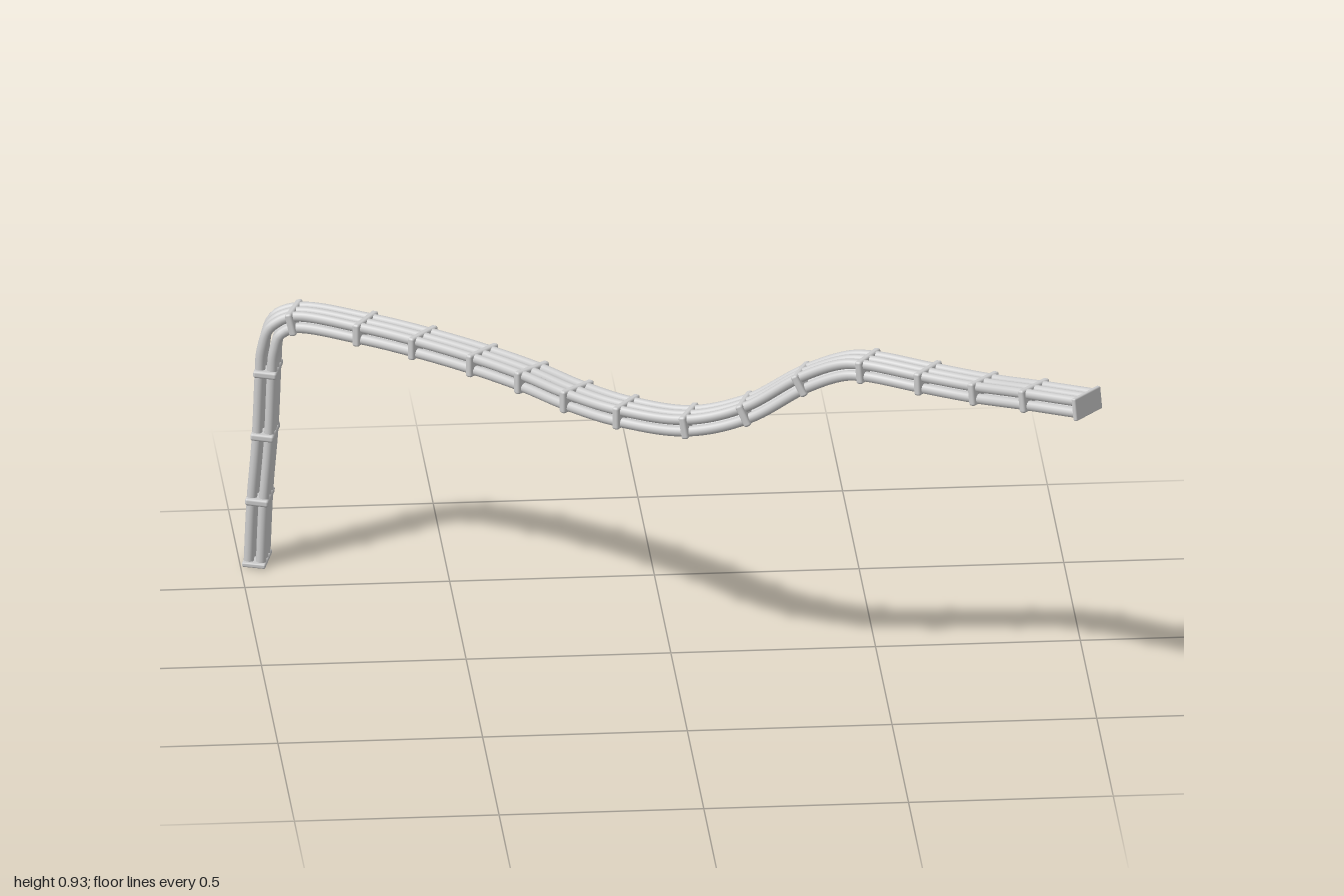
import * as THREE from 'three';
import { RoundedBoxGeometry } from 'three/addons/geometries/RoundedBoxGeometry.js';

// Route of the bundle: x, y, z, and 1 where a clamp sits
const ROUTE = [
  [-0.957, 0.006, -0.668, 0], [-0.95, 0.17, -0.668, 1], [-0.937, 0.34, -0.668, 1],
  [-0.93, 0.505, -0.668, 1], [-0.926, 0.565, -0.668, 0], [-0.91, 0.615, -0.667, 0],
  [-0.863, 0.64, -0.657, 1], [-0.7, 0.64, -0.573, 1], [-0.568, 0.64, -0.473, 1],
  [-0.433, 0.64, -0.35, 1], [-0.322, 0.64, -0.23, 1], [-0.222, 0.64, -0.1, 1],
  [-0.11, 0.64, 0.008, 1], [0.04, 0.643, 0.085, 1], [0.178, 0.69, 0.133, 1],
  [0.313, 0.783, 0.18, 1], [0.41, 0.833, 0.225, 0], [0.462, 0.843, 0.255, 1],
  [0.6, 0.846, 0.35, 1], [0.728, 0.857, 0.455, 1], [0.842, 0.882, 0.57, 1],
  [0.962, 0.899, 0.672, 0],
];
const WIDTH = 0.108, HEIGHT = 0.058;
const PIPE_RADIUS = 0.0128, COLUMN_GAP = 0.032, ROW_GAP = 0.03;

const path = new THREE.CatmullRomCurve3(ROUTE.map(([x, y, z]) => new THREE.Vector3(x, y, z)));

// Local frame: the side axis stays level, also along the upright leg
function frameAt(t) {
  const along = path.getTangent(t);
  const k = along.y ** 8;
  const heading = new THREE.Vector3(along.x + 0.97 * k, 0, along.z + 0.25 * k);
  const side = new THREE.Vector3(-heading.z, 0, heading.x);
  side.addScaledVector(along, -side.dot(along)).normalize();
  const up = new THREE.Vector3().crossVectors(along, side).normalize();
  return { origin: path.getPoint(t), along, side, up };
}

export function createModel() {
  const group = new THREE.Group();
  const material = new THREE.MeshStandardMaterial({ color: 0xcccccc });

  // Six parallel pipes in two rows of three
  const frames = Array.from({ length: 127 }, (_, i) => frameAt(i / 126));
  for (let row = 0; row < 2; row++) {
    for (let col = -1; col <= 1; col++) {
      const points = frames.map(({ origin, side, up }) => origin.clone()
        .addScaledVector(side, col * COLUMN_GAP)
        .addScaledVector(up, (row - 0.5) * ROW_GAP));
      const curve = new THREE.CatmullRomCurve3(points);
      const pipe = new THREE.Mesh(new THREE.TubeGeometry(curve, 220, PIPE_RADIUS, 12), material);
      pipe.name = 'pipe';
      group.add(pipe);
    }
  }

  // Rounded blocks set square to the route
  function addBlock(name, geometry, t) {
    const { origin, along, side, up } = frameAt(t);
    const block = new THREE.Mesh(geometry, material);
    block.name = name;
    block.quaternion.setFromRotationMatrix(new THREE.Matrix4().makeBasis(side, up, along.negate()));
    // A right-handed basis needs side x up = third axis
    const third = new THREE.Vector3().crossVectors(side, up);
    block.quaternion.setFromRotationMatrix(new THREE.Matrix4().makeBasis(side, up, third));
    block.position.copy(origin);
    group.add(block);
  }

  const clampGeometry = new RoundedBoxGeometry(WIDTH, HEIGHT, 0.018, 3, 0.006);
  const capGeometry = new RoundedBoxGeometry(WIDTH, HEIGHT, 0.012, 3, 0.004);
  const last = ROUTE.length - 1;
  ROUTE.forEach((point, i) => {
    if (point[3]) addBlock('clamp', clampGeometry, i / last);
  });
  addBlock('endCap', capGeometry, 0);
  addBlock('endCap', capGeometry, 1);

  return group;
}
